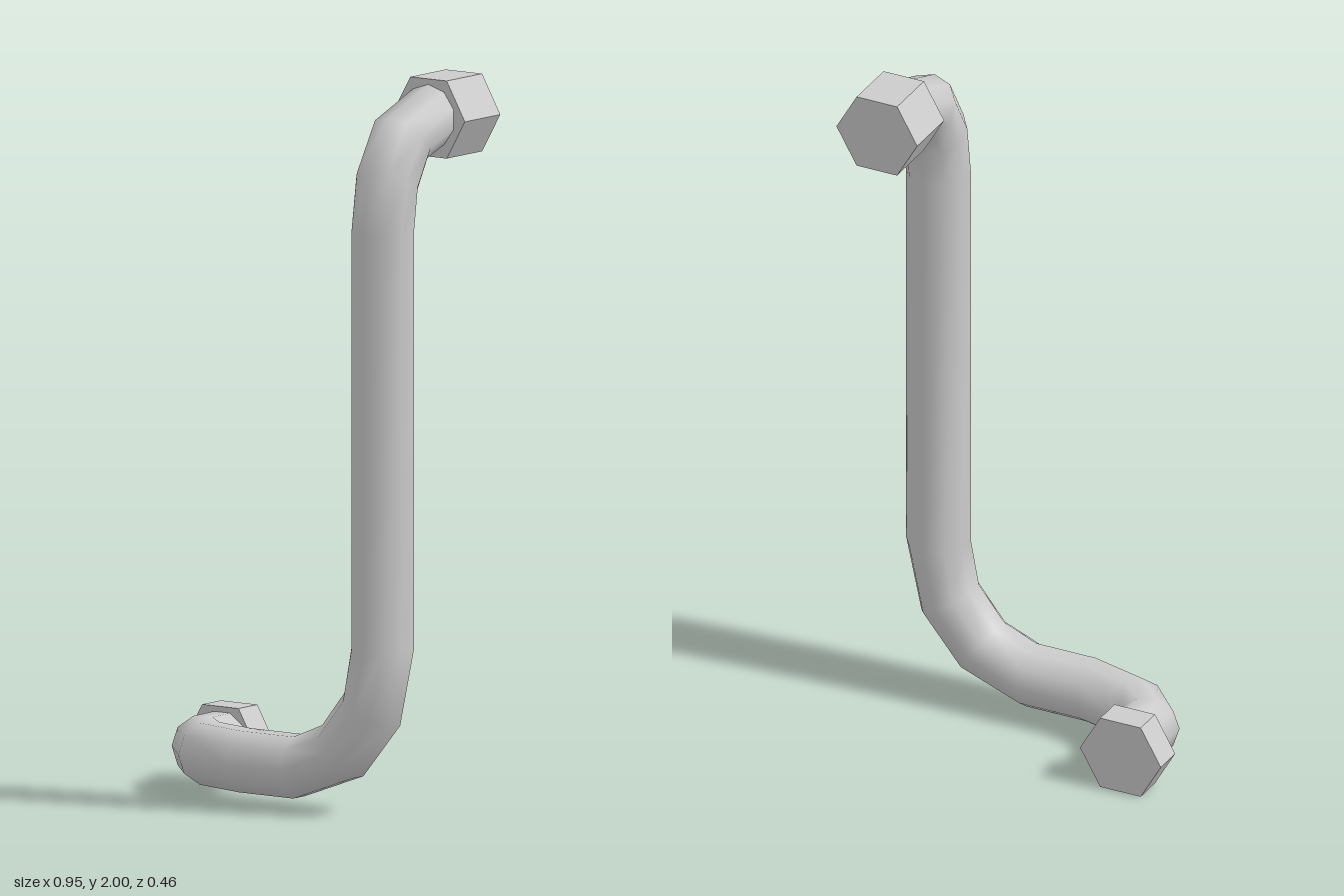
import * as THREE from 'three';

const SIDES = 10;
const RADIUS = 0.089;

// Sweeps a round section through rings given as [x, y, z, tangentX, tangentY, tangentZ]
function sweep(rings, firstNormal) {
  const positions = [];
  const index = [];
  const normal = firstNormal.clone();
  let previous = null;
  rings.forEach(([x, y, z, tx, ty, tz], i) => {
    const tangent = new THREE.Vector3(tx, ty, tz).normalize();
    // carry the section round each bend without twisting
    if (previous) normal.applyQuaternion(new THREE.Quaternion().setFromUnitVectors(previous, tangent));
    previous = tangent;
    const side = new THREE.Vector3().crossVectors(tangent, normal);
    for (let j = 0; j < SIDES; j++) {
      const a = (j / SIDES) * Math.PI * 2;
      const p = new THREE.Vector3(x, y, z)
        .addScaledVector(normal, RADIUS * Math.cos(a))
        .addScaledVector(side, RADIUS * Math.sin(a));
      positions.push(p.x, p.y, p.z);
      if (i === 0) continue;
      const k = (j + 1) % SIDES;
      const lo = (i - 1) * SIDES;
      const hi = i * SIDES;
      index.push(lo + j, lo + k, hi + k, lo + j, hi + k, hi + j);
    }
  });
  const geometry = new THREE.BufferGeometry();
  geometry.setAttribute('position', new THREE.Float32BufferAttribute(positions, 3));
  geometry.setIndex(index);
  geometry.computeVertexNormals();
  return geometry;
}

// Hexagonal nut lying along z, corners pointing left and right
function makeNut(name, x, y, zBack, zFront) {
  const geometry = new THREE.CylinderGeometry(0.123, 0.123, zFront - zBack, 6, 1, false, Math.PI / 2);
  geometry.rotateX(Math.PI / 2);
  const nut = new THREE.Mesh(geometry, new THREE.MeshStandardMaterial({ color: 0xcccccc, flatShading: true }));
  nut.name = name;
  nut.position.set(x, y, (zBack + zFront) / 2);
  return nut;
}

export function createModel() {
  const model = new THREE.Group();
  model.name = 'bentPipe';

  const rings = [
    // lower end, turning from the nut towards +x
    [-0.347, 0.113, -0.08, 0, 0, 1],
    [-0.343, 0.113, 0.024, 0.058, 0, 0.17],
    [-0.265, 0.113, 0.099, 0.146, 0, 0.104],
    [-0.113, 0.113, 0.139, 1, 0, 0],
    // elbow, turning upwards
    [0.068, 0.113, 0.139, 1, 0, 0],
    [0.215, 0.17, 0.139, 0.14, 0.1, 0],
    [0.315, 0.293, 0.139, 0.085, 0.15, 0],
    [0.35, 0.463, 0.139, 0, 1, 0],
    // upper end, turning back into the nut
    [0.35, 1.605, 0.139, 0, 1, 0],
    [0.35, 1.742, 0.119, 0, 0.165, -0.065],
    [0.35, 1.85, 0.055, 0, 0.12, -0.13],
    [0.35, 1.9, -0.08, 0, 0, -1],
  ];
  const pipe = new THREE.Mesh(
    sweep(rings, new THREE.Vector3(1, 0, 0)),
    new THREE.MeshStandardMaterial({ color: 0xcccccc, side: THREE.DoubleSide })
  );
  pipe.name = 'pipe';
  model.add(pipe);

  model.add(makeNut('lowerNut', -0.352, 0.1065, -0.153, -0.067));
  model.add(makeNut('upperNut', 0.35, 1.8935, -0.23, -0.069));
  return model;
}
